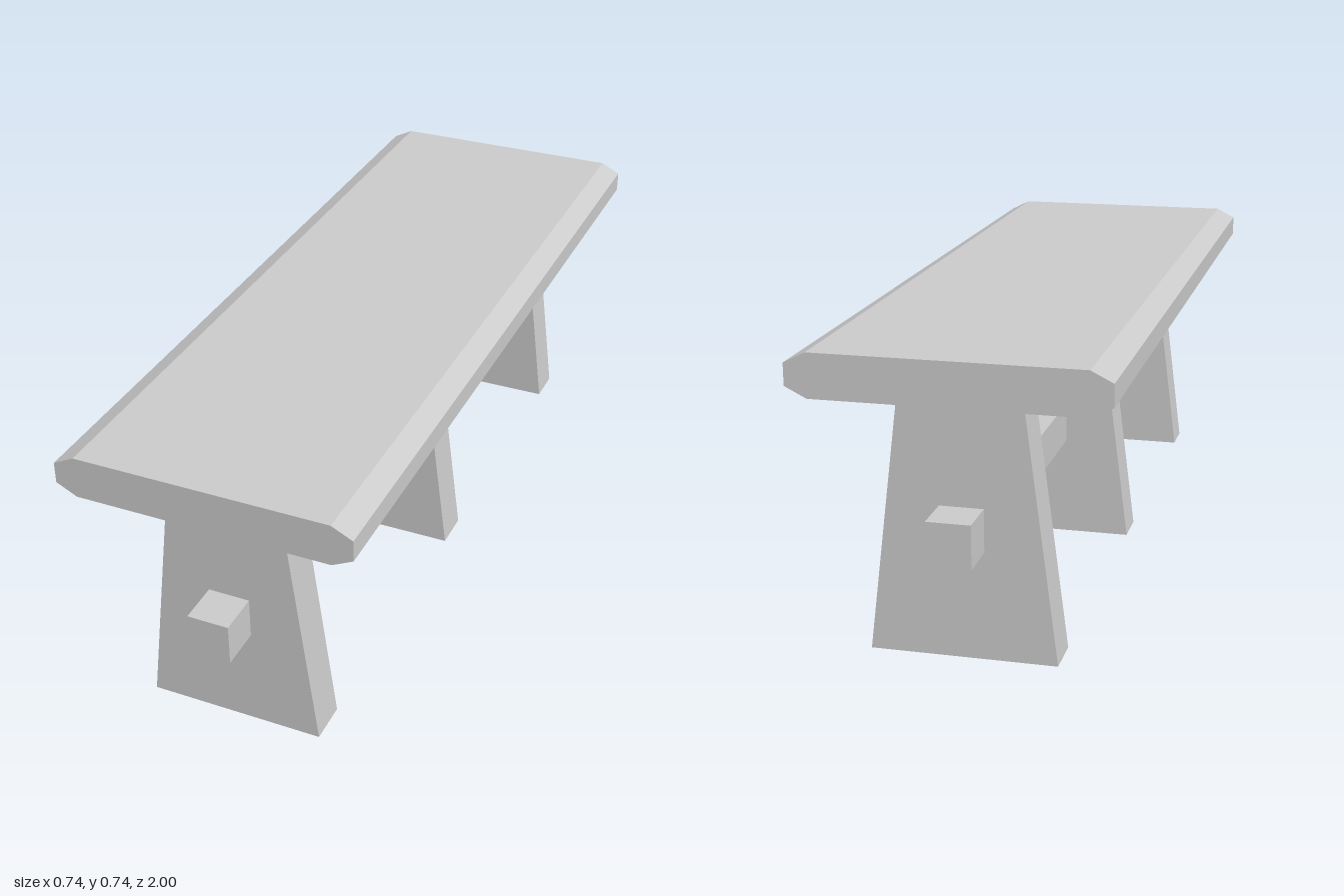
import * as THREE from 'three';

const material = new THREE.MeshStandardMaterial({ color: 0xcccccc, flatShading: true });

// Extrudes an x/y outline along z, centred on z
function slab(name, points, depth, z = 0) {
  const shape = new THREE.Shape(points.map(([x, y]) => new THREE.Vector2(x, y)));
  const geometry = new THREE.ExtrudeGeometry(shape, { depth, bevelEnabled: false });
  geometry.translate(0, 0, -depth / 2);
  const mesh = new THREE.Mesh(geometry, material);
  mesh.name = name;
  mesh.position.z = z;
  return mesh;
}

export function createModel() {
  const group = new THREE.Group();
  group.name = 'trestleTable';

  // Thick top with chamfered long edges
  const w = 0.368, inner = 0.316, bottom = 0.632, top = 0.737;
  group.add(slab('tableTop', [
    [-inner, bottom], [inner, bottom], [w, 0.658], [w, 0.711],
    [inner, top], [-inner, top], [-w, 0.711], [-w, 0.658],
  ], 2));

  // Three tapered board legs
  const legOutline = [[-0.224, 0], [0.224, 0], [0.145, bottom], [-0.145, bottom]];
  [['frontLeg', 0.842], ['middleLeg', 0], ['backLeg', -0.842]].forEach(([name, z]) => {
    group.add(slab(name, legOutline, 0.105, z));
  });

  // Square stretcher passing through all the legs
  const stretcher = new THREE.Mesh(new THREE.BoxGeometry(0.105, 0.105, 2), material);
  stretcher.name = 'stretcher';
  stretcher.position.y = 0.316;
  group.add(stretcher);

  return group;
}
